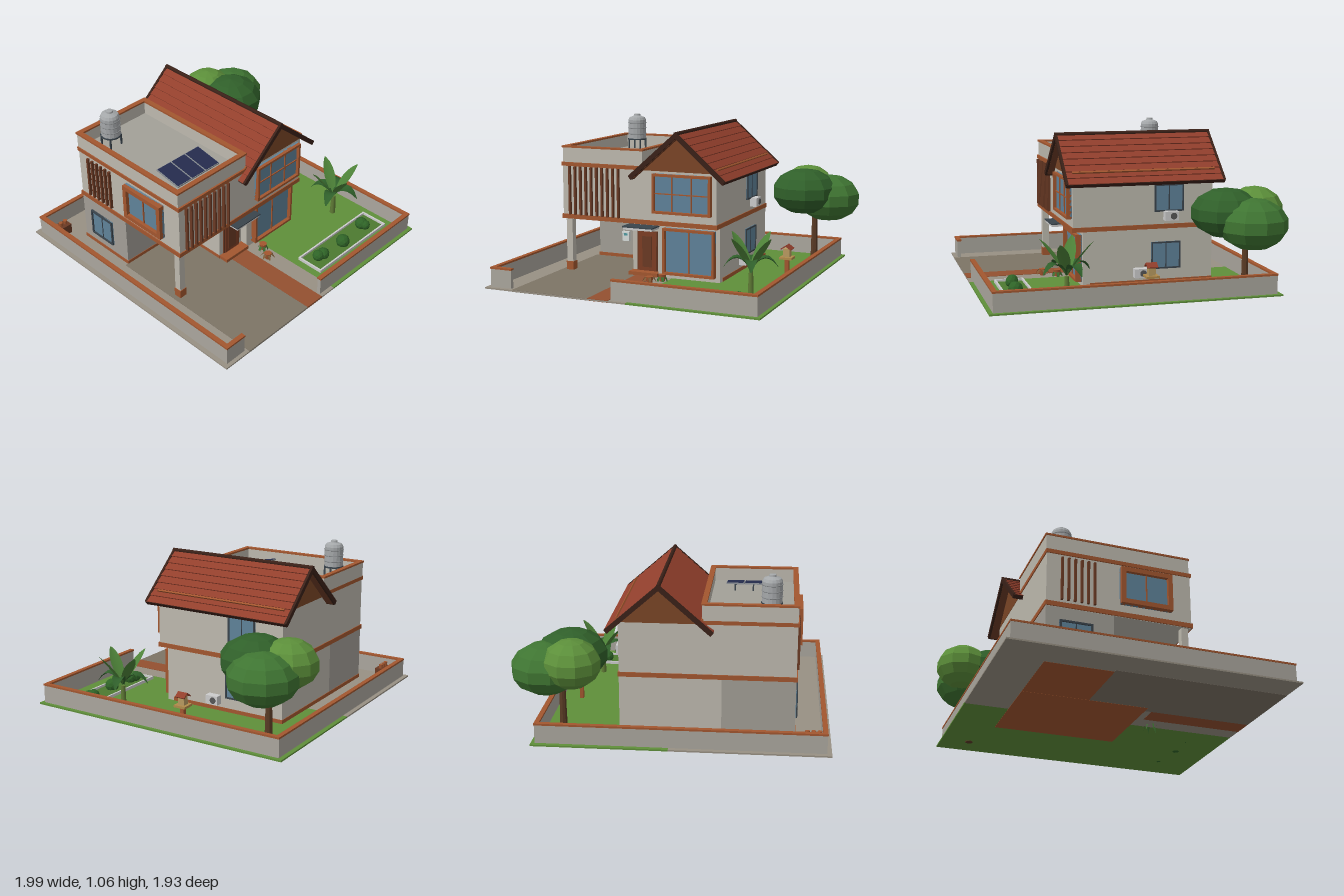
import * as THREE from 'three';

const mats = {};
const mat = (color, flat = false, side = THREE.FrontSide) =>
  (mats[`${color}_${flat}_${side}`] ??= new THREE.MeshStandardMaterial({ color, flatShading: flat, side }));

const WALL = 0xbdb9ae, DARKWALL = 0xa29e96, BRICK = 0xa2562f, ROOF = 0x923f2c, DARK = 0x3a2118,
  GLASS = 0x5f8299, GREY = 0xcccccc, STEEL = 0x3a444c, WOOD = 0x6b3a24;

function add(parent, name, geo, color, pos = [0, 0, 0], flat, side) {
  const m = new THREE.Mesh(geo, mat(color, flat, side));
  m.name = name;
  m.position.set(...pos);
  parent.add(m);
  return m;
}
// Box given by its limits on each axis
function box(parent, name, color, x0, x1, y0, y1, z0, z1) {
  return add(parent, name, new THREE.BoxGeometry(x1 - x0, y1 - y0, z1 - z0), color,
    [(x0 + x1) / 2, (y0 + y1) / 2, (z0 + z1) / 2]);
}
function group(parent, name, pos = [0, 0, 0], ry = 0) {
  const g = new THREE.Group();
  g.name = name;
  g.position.set(...pos);
  g.rotation.y = ry;
  parent.add(g);
  return g;
}
// Four bars around a rectangle in plan, t thick
function ring(parent, name, color, x0, x1, y0, y1, z0, z1, t) {
  box(parent, name, color, x0, x1, y0, y1, z1 - t, z1);
  box(parent, name, color, x0, x1, y0, y1, z0, z0 + t);
  box(parent, name, color, x0, x0 + t, y0, y1, z0 + t, z1 - t);
  box(parent, name, color, x1 - t, x1, y0, y1, z0 + t, z1 - t);
}
// Window facing +z before rotation
function windowUnit(parent, name, pos, ry, w, h, cols, rows, color, depth, t) {
  const g = group(parent, name, pos, ry), a = w / 2, b = h / 2;
  box(g, 'glass', GLASS, -a, a, -b, b, 0, depth * 0.4);
  for (const s of [-1, 1]) {
    add(g, 'frame', new THREE.BoxGeometry(t, h, depth), color, [s * (a - t / 2), 0, depth / 2]);
    add(g, 'frame', new THREE.BoxGeometry(w, t, depth), color, [0, s * (b - t / 2), depth / 2]);
  }
  for (let i = 1; i < cols; i++) add(g, 'mullion', new THREE.BoxGeometry(0.007, h, depth * 0.6), color, [-a + w * i / cols, 0, depth * 0.3]);
  for (let i = 1; i < rows; i++) add(g, 'transom', new THREE.BoxGeometry(w, 0.007, depth * 0.6), color, [0, -b + h * i / rows, depth * 0.3]);
}
// Arching leaf blade growing along +x
function leafGeometry(len, width, rise, droop) {
  const g = new THREE.PlaneGeometry(1, 1, 6, 2), p = g.attributes.position;
  for (let i = 0; i < p.count; i++) {
    const t = p.getX(i) + 0.5, v = p.getY(i);
    const w = width * Math.pow(Math.sin(Math.PI * (0.04 + 0.94 * t)), 0.8);
    p.setXYZ(i, len * t, rise * t - droop * t * t + Math.abs(v) * w * 0.35, v * w);
  }
  g.computeVertexNormals();
  return g;
}
function airConditioner(parent, y, z) {
  const g = group(parent, 'airConditioner', [0.37, y, z], Math.PI / 2);
  add(g, 'casing', new THREE.BoxGeometry(0.09, 0.06, 0.05), GREY);
  add(g, 'fan', new THREE.CylinderGeometry(0.022, 0.022, 0.005, 12), 0x555555, [0.012, 0, 0.026]).rotation.x = Math.PI / 2;
}

function buildGrounds(root) {
  const g = group(root, 'grounds');
  box(g, 'lawn', 0x5f8f3a, 0, 0.86, 0.04, 0.05, -0.89, 0.97);
  box(g, 'paving', 0x989083, -1, 0, 0.04, 0.05, -0.89, 0.97);
  box(g, 'driveway', 0x7d7466, -0.8, -0.26, 0.039, 0.052, -0.17, 0.97);
  box(g, 'path', 0x935030, -0.26, -0.12, 0.039, 0.053, 0.28, 0.97);
  // Boundary wall with coping, open at the drive
  const runs = [[-0.97, -0.945, -0.86, 0.94], [0.81, 0.835, -0.86, 0.94], [-0.97, 0.835, -0.86, -0.835],
    [-0.97, -0.82, 0.92, 0.945], [-0.11, 0.835, 0.92, 0.945]];
  for (const [x0, x1, z0, z1] of runs) {
    box(g, 'boundaryWall', 0xaaa69d, x0, x1, 0.045, 0.168, z0, z1);
    box(g, 'wallCoping', BRICK, x0 - 0.003, x1 + 0.003, 0.168, 0.18, z0 - 0.003, z1 + 0.003);
  }
  // Flower bed with bushes
  ring(g, 'bedEdge', GREY, 0.05, 0.75, 0.045, 0.07, 0.62, 0.815, 0.012);
  box(g, 'bedSoil', 0x4d7a30, 0.06, 0.74, 0.045, 0.055, 0.63, 0.805);
  for (const [x, z, r] of [[0.15, 0.71, 0.04], [0.19, 0.72, 0.042], [0.385, 0.73, 0.048], [0.625, 0.7, 0.045], [0.63, 0.73, 0.035]])
    add(g, 'bush', new THREE.IcosahedronGeometry(r, 1), 0x2f6427, [x, 0.08, z], true);
  // Brick planter in the back corner
  box(g, 'planter', WOOD, -0.95, -0.825, 0.045, 0.12, -0.775, -0.705);
  for (const x of [-0.925, -0.888, -0.85]) add(g, 'plantPot', new THREE.CylinderGeometry(0.015, 0.012, 0.035, 8), BRICK, [x, 0.13, -0.74]);
  // Small shrine on a post
  const s = group(g, 'gardenShrine', [0.68, 0, -0.075]);
  box(s, 'post', BRICK, -0.013, 0.013, 0.045, 0.17, -0.013, 0.013);
  box(s, 'base', 0xb08a4a, -0.042, 0.042, 0.17, 0.185, -0.042, 0.042);
  box(s, 'house', 0xb89a60, -0.022, 0.022, 0.185, 0.24, -0.022, 0.022);
  for (const k of [-1, 1]) add(s, 'shrineRoof', new THREE.BoxGeometry(0.045, 0.008, 0.07), ROOF, [k * 0.017, 0.25, 0]).rotation.z = -k * 0.6;
}

function buildPlants(root) {
  const tree = group(root, 'tree', [0.68, 0, -0.7]);
  add(tree, 'trunk', new THREE.CylinderGeometry(0.018, 0.026, 0.4, 8), 0x5a3b25, [0, 0.235, 0], true);
  for (const [x, y, z, r, h, c] of [[-0.08, 0.555, -0.09, 0.185, 0.155, 0x5c8f3a], [0.095, 0.495, -0.01, 0.225, 0.165, 0x3f7532], [-0.045, 0.55, 0.115, 0.23, 0.16, 0x30602a]])
    add(tree, 'crown', new THREE.SphereGeometry(1, 10, 7), c, [x, y, z], true).scale.set(r, h, r);

  const palm = group(root, 'broadLeafPlant', [0.615, 0.18, 0.45]);
  add(palm, 'stem', new THREE.CylinderGeometry(0.014, 0.02, 0.15, 8), 0x5f7a35, [0, -0.06, 0]);
  for (let i = 0; i < 8; i++) {
    const high = i % 2 === 1;
    add(palm, 'leaf', leafGeometry(0.17, 0.08, high ? 0.24 : 0.28, high ? 0.02 : 0.26), high ? 0x4d8238 : 0x2f5f2a,
      [0, 0.02, 0], false, THREE.DoubleSide).rotation.y = 0.35 + i * Math.PI / 4;
  }
  // Two pots by the entrance
  for (const [x, z] of [[-0.08, 0.46], [-0.03, 0.37]]) {
    const pot = group(root, 'pottedPlant', [x, 0, z]);
    add(pot, 'pot', new THREE.CylinderGeometry(0.026, 0.018, 0.045, 10), BRICK, [0, 0.072, 0]);
    for (let i = 0; i < 6; i++)
      add(pot, 'leaf', leafGeometry(0.05, 0.02, 0.02, x < -0.05 ? 0.05 : 0.11), x < -0.05 ? 0x7a5a35 : 0x3c7031,
        [0, 0.09, 0], false, THREE.DoubleSide).rotation.y = i * Math.PI / 3;
  }
}

function buildHouse(root) {
  const g = group(root, 'house');
  // Ground floor
  box(g, 'storeWalls', DARKWALL, -0.775, -0.31, 0.045, 0.41, -0.6, -0.17);
  box(g, 'entranceWalls', WALL, -0.31, -0.07, 0.045, 0.41, -0.6, 0.23);
  box(g, 'livingWalls', WALL, -0.1, 0.34, 0.045, 0.41, -0.6, 0.28);
  box(g, 'skirting', BRICK, -0.779, -0.306, 0.039, 0.075, -0.604, -0.166);
  box(g, 'skirting', BRICK, -0.314, 0.344, 0.038, 0.075, -0.604, 0.234);
  box(g, 'porchStep', BRICK, -0.31, -0.1, 0.045, 0.075, 0.23, 0.3);
  box(g, 'carportPost', WALL, -0.765, -0.72, 0.045, 0.41, 0.28, 0.325);
  box(g, 'postBase', BRICK, -0.769, -0.716, 0.045, 0.11, 0.276, 0.329);
  box(g, 'door', 0x7d3d24, -0.265, -0.135, 0.075, 0.34, 0.23, 0.24);
  ring(group(g, 'doorFrame', [0, 0, 0.23]), 'bar', WOOD, -0.275, -0.125, 0.075, 0.345, -0.006, 0.006, 0.01);
  box(g, 'doorPanel', WOOD, -0.235, -0.165, 0.1, 0.31, 0.24, 0.244);
  box(g, 'doorCanopy', GREY, -0.305, -0.095, 0.375, 0.39, 0.22, 0.39);
  box(g, 'canopyEdge', STEEL, -0.31, -0.09, 0.39, 0.398, 0.22, 0.395);
  box(g, 'meterBox', 0xd6dcda, -0.585, -0.53, 0.175, 0.245, -0.17, -0.15);
  box(g, 'meterScreen', 0x4f9aa0, -0.572, -0.543, 0.215, 0.232, -0.15, -0.148);

  // Upper floor and bands
  box(g, 'upperWalls', WALL, -0.775, 0.34, 0.41, 0.78, -0.6, 0.345);
  box(g, 'floorBand', BRICK, -0.783, 0.346, 0.412, 0.442, -0.606, 0.352);
  box(g, 'roofBand', BRICK, -0.783, -0.18, 0.77, 0.795, -0.606, 0.352);
  box(g, 'roofDeck', 0xa3a098, -0.76, -0.2, 0.78, 0.805, -0.6, 0.33);
  ring(g, 'parapet', WALL, -0.775, -0.185, 0.795, 0.893, -0.605, 0.34, 0.025);
  ring(g, 'parapetCap', BRICK, -0.781, -0.179, 0.893, 0.905, -0.611, 0.346, 0.035);

  // Louvres on front and left side
  for (let i = 0; i < 10; i++) box(g, 'louvre', WOOD, -0.725 + i * 0.0405, -0.712 + i * 0.0405, 0.442, 0.77, 0.345, 0.365);
  for (let i = 0; i < 6; i++) box(g, 'sideLouvre', WOOD, -0.793, -0.775, 0.46, 0.75, -0.51 + i * 0.042, -0.496 + i * 0.042);

  // Windows
  const q = Math.PI / 2;
  windowUnit(g, 'upperFrontWindow', [0.105, 0.625, 0.345], 0, 0.41, 0.26, 3, 2, BRICK, 0.035, 0.016);
  windowUnit(g, 'lowerFrontWindow', [0.13, 0.235, 0.28], 0, 0.365, 0.31, 2, 1, BRICK, 0.042, 0.016);
  windowUnit(g, 'upperRightWindow', [0.34, 0.615, -0.3], q, 0.2, 0.18, 2, 1, STEEL, 0.012, 0.01);
  windowUnit(g, 'lowerRightWindow', [0.34, 0.235, -0.28], q, 0.2, 0.18, 2, 1, STEEL, 0.012, 0.01);
  windowUnit(g, 'lowerLeftWindow', [-0.775, 0.23, -0.41], -q, 0.21, 0.19, 2, 1, STEEL, 0.014, 0.012);
  windowUnit(g, 'leftBayWindow', [-0.775, 0.62, 0.04], -q, 0.34, 0.25, 2, 1, BRICK, 0.04, 0.03);
  airConditioner(g, 0.5, -0.305);
  airConditioner(g, 0.13, -0.1);

  // Gable filling
  const shape = new THREE.Shape([[-0.18, 0.77], [0.34, 0.77], [0.34, 0.785], [0.08, 1.005], [-0.18, 0.785]].map(p => new THREE.Vector2(...p)));
  add(g, 'gable', new THREE.ExtrudeGeometry(shape, { depth: 0.95, bevelEnabled: false }), 0x7a4526, [0, 0, -0.602]);
}

function buildRoof(root) {
  const roof = group(root, 'pitchedRoof', [0.08, 1.02, -0.13]), len = 0.44, n = 8, step = len / n;
  for (const turn of [0, Math.PI]) {
    const side = group(group(roof, 'roofSide', [0, 0, 0], turn), 'slope');
    side.rotation.z = -0.72;
    box(side, 'roofBoard', WOOD, 0, len, -0.022, -0.008, -0.52, 0.52);
    // Overlapping tile courses
    for (let i = 0; i < n; i++)
      add(side, 'tileCourse', new THREE.BoxGeometry(step + 0.008, 0.013, 1.05), ROOF, [(i + 0.5) * step, -0.002, 0]).rotation.z = 0.13;
    for (const k of [-1, 1]) add(side, 'bargeBoard', new THREE.BoxGeometry(len + 0.005, 0.03, 0.016), DARK, [len / 2, -0.006, k * 0.527]);
    box(side, 'eavesBoard', DARK, len - 0.005, len + 0.006, -0.022, 0.006, -0.53, 0.53);
    box(side, 'roofRail', BRICK, 0.34, 0.352, 0.004, 0.016, -0.48, 0.48);
  }
  add(roof, 'ridgeCap', new THREE.CylinderGeometry(0.014, 0.014, 1.07, 8), DARK).rotation.x = Math.PI / 2;

  // Solar panels
  const solar = group(root, 'solarPanels', [-0.48, 0.845, 0.125]);
  solar.rotation.x = 0.18;
  for (const k of [-1, 0, 1]) {
    add(solar, 'panelFrame', new THREE.BoxGeometry(0.118, 0.01, 0.195), 0x8a8f94, [k * 0.121, 0, 0]);
    add(solar, 'panel', new THREE.BoxGeometry(0.11, 0.012, 0.187), 0x252c4e, [k * 0.121, 0.001, 0]);
    for (const z of [-0.08, 0.08]) add(solar, 'panelLeg', new THREE.BoxGeometry(0.008, 0.05, 0.008), STEEL, [k * 0.121, -0.025, z]);
  }

  // Water tank on a stand
  const tank = group(root, 'waterTank', [-0.61, 0.8, -0.46]);
  const profile = [[0, 0.085], [0.064, 0.085], [0.064, 0.22], [0.055, 0.238], [0.024, 0.25], [0.022, 0.262], [0, 0.264]].map(p => new THREE.Vector2(...p));
  add(tank, 'tankBody', new THREE.LatheGeometry(profile, 16), 0xa5a8aa, [0, 0, 0], true);
  for (const y of [0.12, 0.16, 0.2]) add(tank, 'tankHoop', new THREE.TorusGeometry(0.064, 0.004, 6, 16), 0x8d9092, [0, y, 0]).rotation.x = Math.PI / 2;
  add(tank, 'standTop', new THREE.CylinderGeometry(0.068, 0.068, 0.01, 16), STEEL, [0, 0.08, 0]);
  for (const x of [-0.045, 0.045]) for (const z of [-0.045, 0.045]) box(tank, 'standLeg', STEEL, x - 0.005, x + 0.005, 0, 0.08, z - 0.005, z + 0.005);
}

export function createModel() {
  const root = new THREE.Group();
  root.name = 'houseWithGarden';
  buildGrounds(root);
  buildPlants(root);
  buildHouse(root);
  buildRoof(root);
  return root;
}
